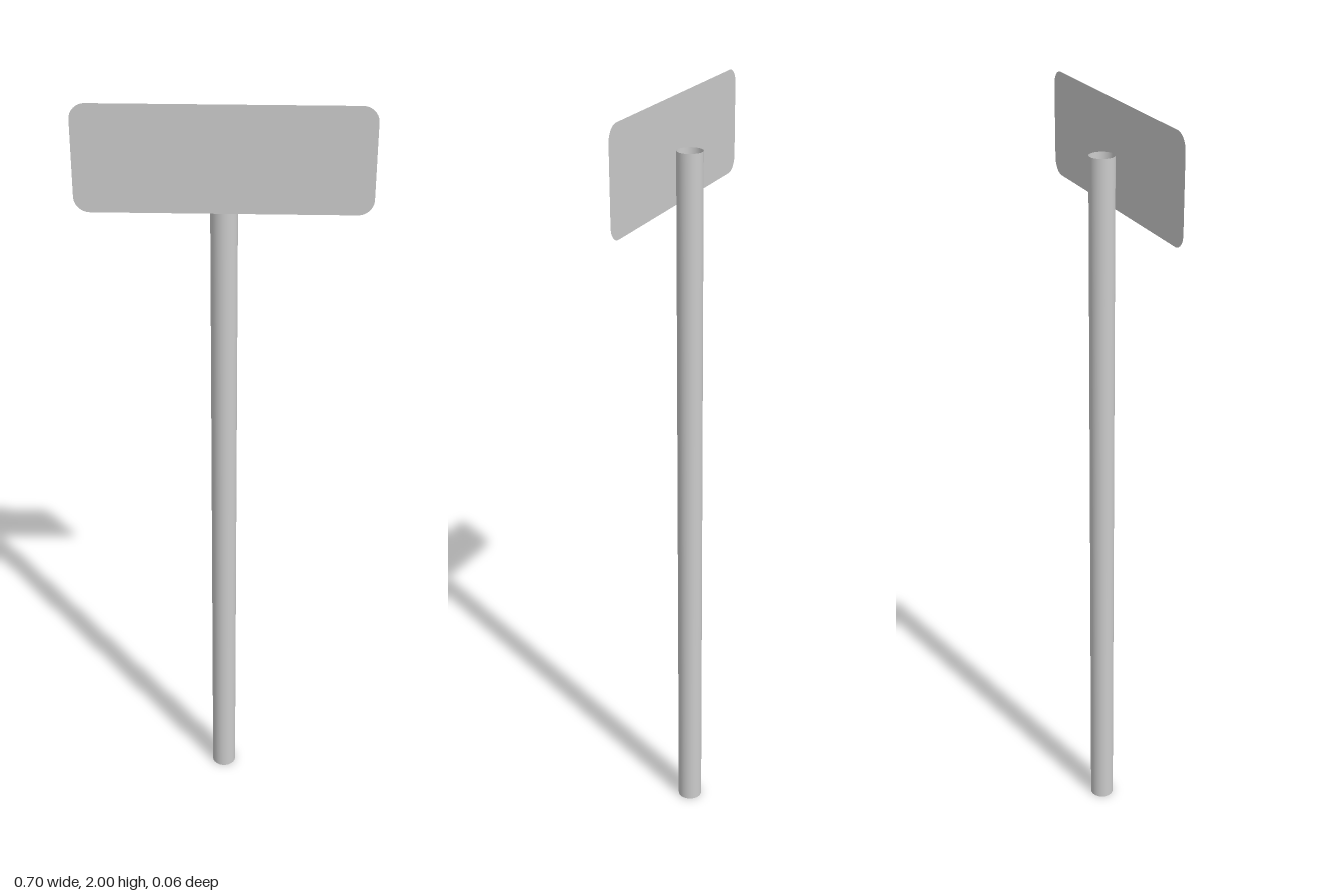
import * as THREE from 'three';

const material = new THREE.MeshStandardMaterial({ color: 0xcccccc, side: THREE.DoubleSide });

// Flat outline with rounded corners, centred on the origin
function roundedRectangle(width, height, radius) {
  const x = width / 2 - radius;
  const y = height / 2 - radius;
  const shape = new THREE.Shape();
  shape.absarc(x, y, radius, 0, Math.PI / 2);
  shape.absarc(-x, y, radius, Math.PI / 2, Math.PI);
  shape.absarc(-x, -y, radius, Math.PI, Math.PI * 1.5);
  shape.absarc(x, -y, radius, Math.PI * 1.5, Math.PI * 2);
  shape.closePath();
  return shape;
}

export function createModel() {
  const model = new THREE.Group();
  model.name = 'signpost';

  // Hollow post, open at both ends
  const postHeight = 1.872;
  const postRadius = 0.0325;
  const post = new THREE.Mesh(
    new THREE.CylinderGeometry(postRadius, postRadius, postHeight, 32, 1, true),
    material
  );
  post.name = 'post';
  post.position.y = postHeight / 2;
  model.add(post);

  // Thin sign plate touching the front of the post
  const plate = new THREE.Mesh(
    new THREE.ShapeGeometry(roundedRectangle(0.696, 0.26, 0.038), 8),
    material
  );
  plate.name = 'signPlate';
  plate.position.set(0, 1.87, postRadius);
  model.add(plate);

  return model;
}
